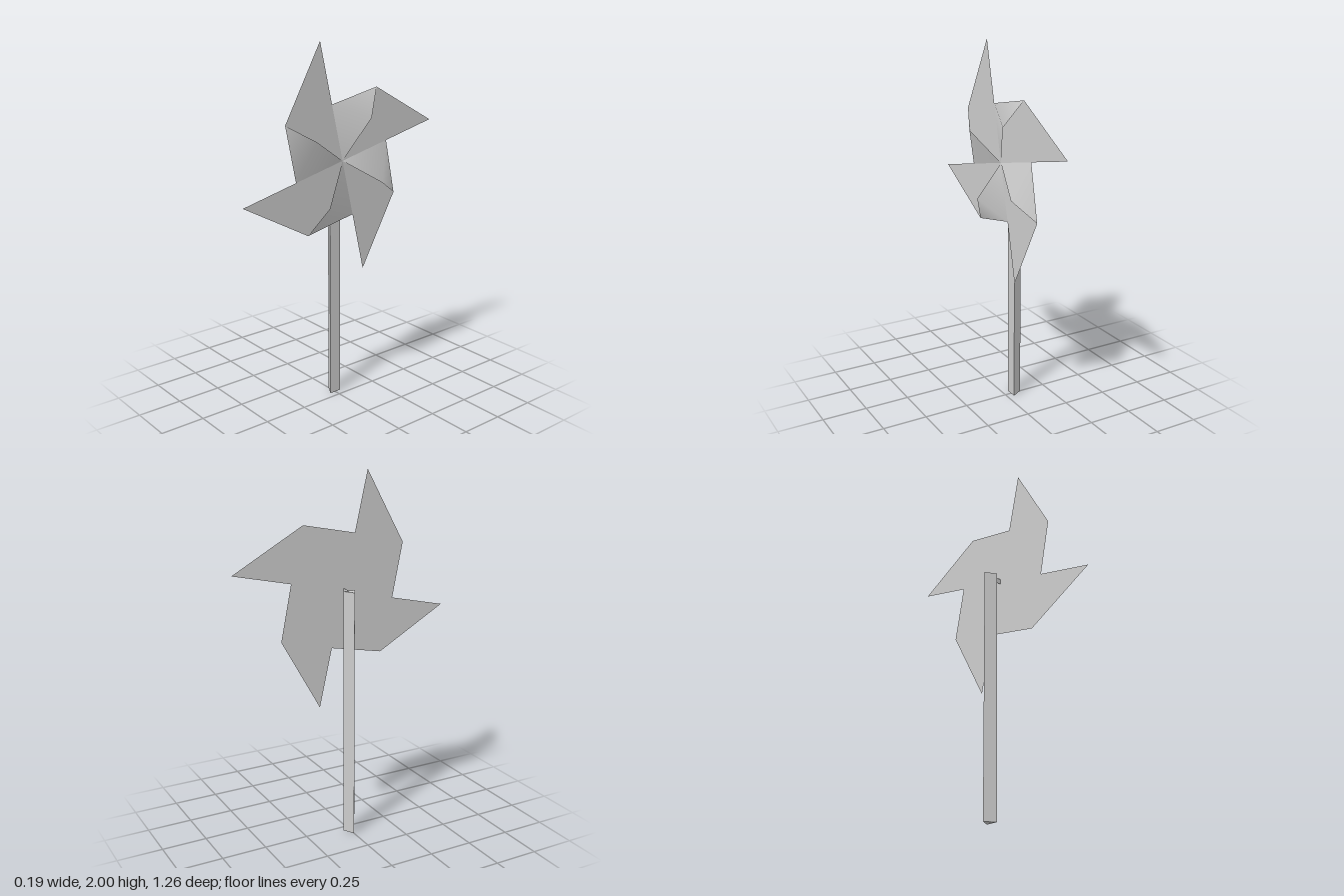
import * as THREE from 'three';

const HUB_Y = 1.37;
const SHEET_X = 0.027;

export function createModel() {
  const model = new THREE.Group();
  model.name = 'pinwheel';
  const paper = new THREE.MeshStandardMaterial({ color: 0xcccccc, side: THREE.DoubleSide });
  paper.name = 'light grey';

  const add = (parent, name, geometry) => {
    const mesh = new THREE.Mesh(geometry, paper);
    mesh.name = name;
    parent.add(mesh);
    return mesh;
  };

  // Three-sided stick with one edge pointing to the back of the wheel
  const stickGeo = new THREE.CylinderGeometry(0.04, 0.04, 1.385, 3, 1, false, -Math.PI / 2).toNonIndexed();
  stickGeo.computeVertexNormals();
  add(model, 'stick', stickGeo).position.set(-0.057, 1.385 / 2, 0);

  // Flat pin joining stick and wheel
  add(model, 'pin', new THREE.PlaneGeometry(SHEET_X + 0.037, 0.03))
    .position.set((SHEET_X - 0.037) / 2, HUB_Y, 0);

  // Wheel is drawn in its own xy plane, then turned to face +x
  const wheel = new THREE.Group();
  wheel.name = 'wheel';
  wheel.position.set(SHEET_X, HUB_Y, 0);
  wheel.rotation.y = Math.PI / 2;
  model.add(wheel);

  // Flat sheet: shoulder, tip and notch repeated every quarter turn
  const outline = [];
  for (let i = 0; i < 4; i++) {
    for (const [x, y] of [[-0.367, 0.232], [-0.145, 0.63], [-0.07, 0.305]]) {
      outline.push(new THREE.Vector2(x, y).rotateAround(new THREE.Vector2(), -i * Math.PI / 2));
    }
  }
  add(wheel, 'sheet', new THREE.ShapeGeometry(new THREE.Shape(outline)));

  // Curled flaps: hub, raised crease, shoulder, notch
  const flapGeo = new THREE.BufferGeometry();
  flapGeo.setAttribute('position', new THREE.Float32BufferAttribute([
    0, 0, 0,
    0.141, 0.222, 0.068,
    0.232, 0.367, 0,
    -0.07, 0.305, 0,
  ], 3));
  flapGeo.setIndex([0, 1, 3, 1, 2, 3]);
  flapGeo.computeVertexNormals();
  for (let i = 0; i < 4; i++) {
    add(wheel, 'flap' + (i + 1), flapGeo).rotation.z = -i * Math.PI / 2;
  }

  return model;
}
